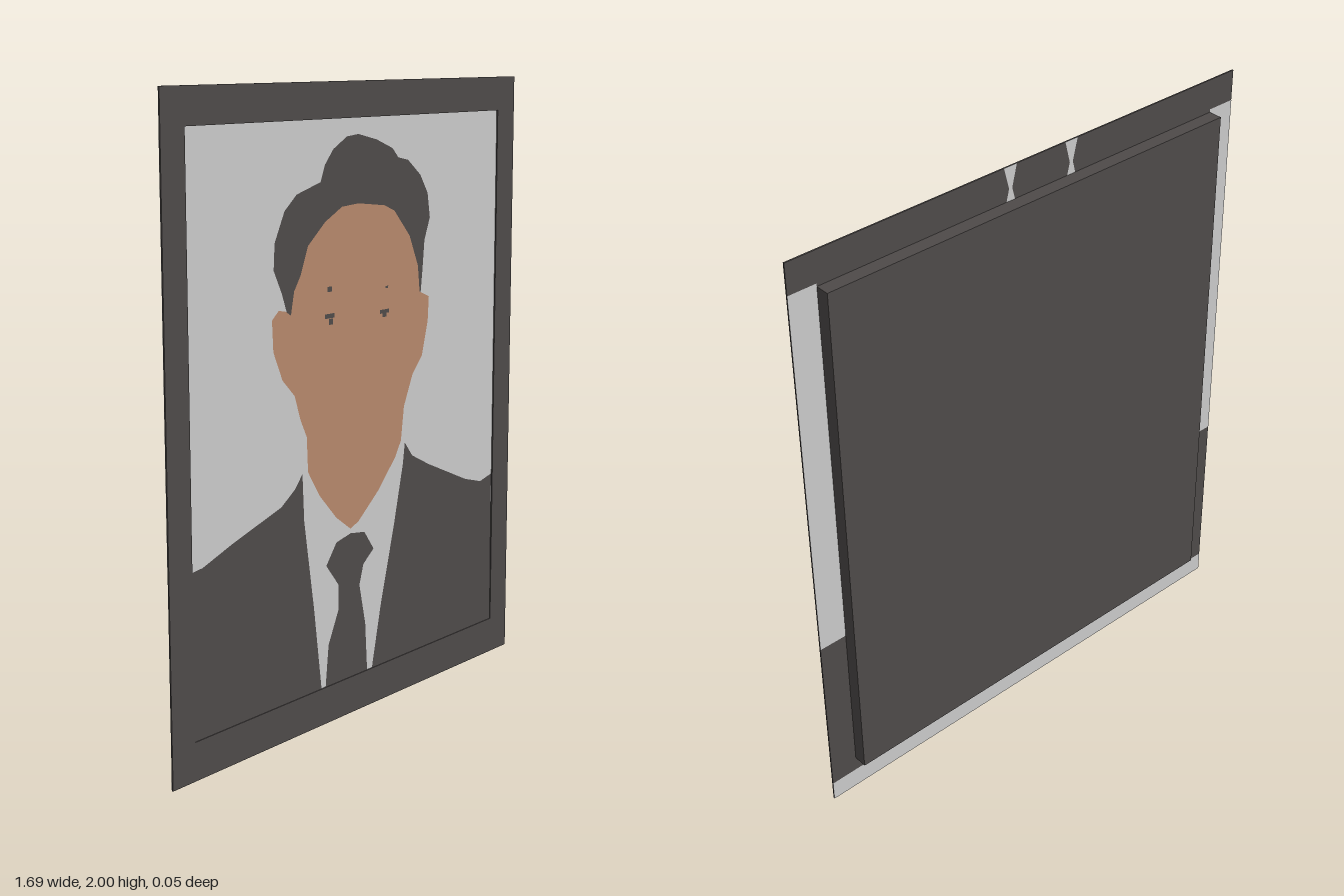
import * as THREE from 'three';

const W = 0.845, H = 2;                            // frame outer half width and height
const IN = 0.75, BOTTOM = 0.12, TOP = 1.89;        // picture opening

const mat = (name, color) => {
  const m = new THREE.MeshStandardMaterial({ color, side: THREE.DoubleSide });
  m.name = name;
  return m;
};

const outline = (pts) => new THREE.Shape(pts.map(([x, y]) => new THREE.Vector2(x, y)));
const rect = (x0, y0, x1, y1) => [[x0, y0], [x1, y0], [x1, y1], [x0, y1]];

export function createModel() {
  const group = new THREE.Group();
  const dark = mat('charcoal', 0x4e4a49);
  const light = mat('pale grey', 0xcacaca);
  const skin = mat('skin', 0xb6886b);

  const add = (name, geometry, material, z = 0) => {
    const mesh = new THREE.Mesh(geometry, material);
    mesh.name = name;
    mesh.position.z = z;
    group.add(mesh);
    return mesh;
  };
  const flat = (name, pts, material, z) => add(name, new THREE.ShapeGeometry(outline(pts)), material, z);

  // Thin frame with a rectangular opening
  const ring = outline(rect(-W, 0, W, H));
  ring.holes.push(outline(rect(-IN, BOTTOM, IN, TOP)));
  add('frame', new THREE.ExtrudeGeometry(ring, { depth: 0.005, bevelEnabled: false }), dark, 0.02);

  // Backing box behind the opening
  const box = add('backingBox', new THREE.BoxGeometry(2 * IN, TOP - BOTTOM, 0.046), dark, -0.003);
  box.position.y = (TOP + BOTTOM) / 2;

  // Portrait, built as stacked flat cut-outs just inside the frame
  flat('background', rect(-IN, BOTTOM, IN, TOP), light, 0.0206);

  flat('hair', [
    [-0.32, 1.31], [-0.35, 1.39], [-0.385, 1.46], [-0.38, 1.54], [-0.335, 1.63], [-0.28, 1.675],
    [-0.17, 1.705], [-0.15, 1.755], [-0.11, 1.8], [-0.045, 1.835], [0.01, 1.84], [0.1, 1.82],
    [0.18, 1.79], [0.21, 1.76], [0.26, 1.75], [0.325, 1.7], [0.365, 1.64], [0.378, 1.56],
    [0.35, 1.49], [0.34, 1.39], [0.33, 1.31],
  ], dark, 0.0213);

  flat('face', [
    [-0.31, 1.32], [-0.295, 1.39], [-0.265, 1.435], [-0.23, 1.52], [-0.15, 1.585], [-0.07, 1.625],
    [0.01, 1.63], [0.14, 1.615], [0.19, 1.595], [0.27, 1.51], [0.315, 1.41], [0.325, 1.325],
    [0.375, 1.305], [0.37, 1.225], [0.34, 1.115], [0.29, 1.06], [0.245, 0.96], [0.23, 0.85],
    [0.2, 0.8], [0.11, 0.705], [0.01, 0.625], [-0.03, 0.61], [-0.1, 0.66], [-0.18, 0.745],
    [-0.235, 0.83], [-0.24, 0.94], [-0.27, 1.0], [-0.295, 1.075], [-0.35, 1.13], [-0.39, 1.22],
    [-0.395, 1.315], [-0.365, 1.34], [-0.335, 1.335],
  ], skin, 0.022);

  // Jacket halves and tie; the shirt is the pale background between them
  flat('jacketLeft', [
    [0.25, 0.84], [0.29, 0.79], [0.38, 0.745], [0.485, 0.7], [0.59, 0.655], [0.68, 0.63],
    [0.745, 0.645], [IN, BOTTOM], [0.08, BOTTOM], [0.125, 0.32], [0.195, 0.58], [0.24, 0.77],
  ], dark, 0.0227);
  flat('jacketRight', [
    [-0.262, 0.83], [-0.295, 0.79], [-0.36, 0.745], [-0.575, 0.68], [-0.705, 0.635], [-IN, 0.63],
    [-IN, BOTTOM], [-0.175, BOTTOM], [-0.21, 0.39], [-0.255, 0.68],
  ], dark, 0.0227);
  flat('tie', [
    [-0.03, 0.595], [0.04, 0.585], [0.087, 0.52], [0.035, 0.48], [0.015, 0.415], [0.045, 0.28],
    [0.055, BOTTOM], [-0.155, BOTTOM], [-0.14, 0.255], [-0.09, 0.36], [-0.09, 0.44],
    [-0.15, 0.515], [-0.1, 0.58],
  ], dark, 0.0227);

  // Eyes and brow flecks
  for (const [name, x, y, w, h] of [
    ['eyeRight', -0.13, 1.298, 0.045, 0.014], ['eyeRightLower', -0.125, 1.28, 0.02, 0.018],
    ['eyeLeft', 0.14, 1.282, 0.045, 0.012], ['eyeLeftLower', 0.14, 1.27, 0.02, 0.012],
    ['browRight', -0.13, 1.38, 0.02, 0.016], ['browLeft', 0.152, 1.358, 0.014, 0.007],
  ]) flat(name, rect(x - w / 2, y - h / 2, x + w / 2, y + h / 2), dark, 0.0227);

  // Pale areas on the back of the frame
  const backZ = 0.0194;
  for (const s of [1, -1]) {
    const side = s > 0 ? 'Left' : 'Right';
    flat('backStrip' + side, rect(Math.min(s * IN, s * W), 0.65, Math.max(s * IN, s * W), TOP + 0.01), light, backZ);
    const x = s > 0 ? 0.068 : -0.166;
    flat('backTopMark' + side, [
      [x - 0.024, H], [x - 0.006, 1.93], [x - 0.016, TOP], [x + 0.016, TOP], [x + 0.006, 1.93], [x + 0.024, H],
    ], light, backZ);
    flat('backBottomMark' + side, rect(x - 0.012, 0.07, x + 0.012, BOTTOM), light, backZ);
  }
  flat('backBottomStrip', rect(-W, 0, W, 0.07), light, backZ);

  return group;
}
